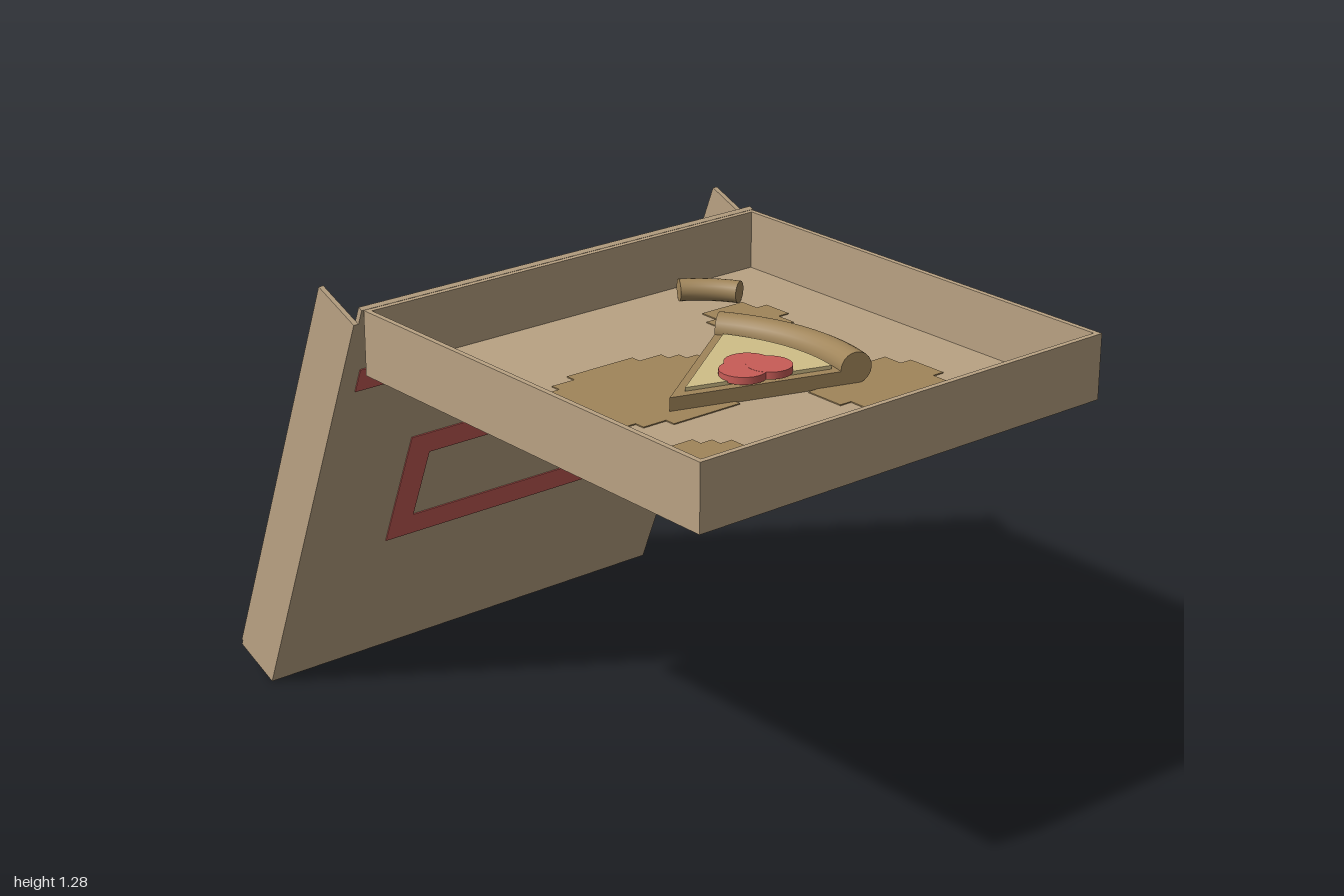
import * as THREE from 'three';
import { mergeGeometries } from 'three/addons/utils/BufferGeometryUtils.js';

const mat = (name, color) => Object.assign(new THREE.MeshStandardMaterial({ color }), { name });

export function createModel() {
  const cardboard = mat('cardboard', 0xb9a283);
  const brown = mat('crust brown', 0xa0855a);
  const red = mat('red', 0xc85c57);
  const cheeseYellow = mat('cheese yellow', 0xd0be87);

  const add = (parent, name, geometry, material) => {
    const mesh = new THREE.Mesh(geometry, material);
    mesh.name = name;
    parent.add(mesh);
    return mesh;
  };
  // Box given by its lower and upper limits on each axis
  const box = (x0, x1, y0, y1, z0, z1) =>
    new THREE.BoxGeometry(x1 - x0, y1 - y0, z1 - z0)
      .translate((x0 + x1) / 2, (y0 + y1) / 2, (z0 + z1) / 2);
  const group = (parent, name) => {
    const g = new THREE.Group();
    g.name = name;
    parent.add(g);
    return g;
  };

  const model = new THREE.Group();
  model.name = 'openPizzaBox';
  const T = 0.015, FLOOR = 1.1, RIM = 1.265, BACK = -0.335;

  // Tray
  const tray = group(model, 'tray');
  add(tray, 'trayFloor', box(-0.67, 0.67, FLOOR - T, FLOOR, BACK, 1), cardboard);
  for (const s of [-1, 1]) {
    add(tray, s > 0 ? 'trayLeftWall' : 'trayRightWall',
      box(0.67 - T, 0.67, FLOOR, RIM, BACK, 1).translate(s > 0 ? 0 : T - 1.34, 0, 0), cardboard);
  }
  add(tray, 'trayFrontWall', box(-0.67 + T, 0.67 - T, FLOOR, RIM, 1 - T, 1), cardboard);
  add(tray, 'trayBackWall', box(-0.67 + T, 0.67 - T, FLOOR, RIM, BACK, BACK + T), cardboard);

  // Lid: local y runs down from the hinge, local z points to the rim
  const lid = group(model, 'lid');
  lid.position.set(0, RIM, -0.337);
  lid.rotation.x = Math.atan2(-0.375, -0.927);
  const L = 1.36, D = 0.17;
  add(lid, 'lidPanel', box(-0.675, 0.675, 0, L - T, 0, T), cardboard);
  for (const s of [-1, 1]) {
    add(lid, s > 0 ? 'lidLeftWall' : 'lidRightWall',
      box(-T / 2, T / 2, 0.045, L - T, 0, D).translate(s * 0.6825, 0, 0), cardboard);
  }
  add(lid, 'lidEndWall', box(-0.69, 0.69, L - T, L, 0, D - 0.005), cardboard);

  // Printed stripe and frame on the lid
  add(lid, 'printedStripe', box(-0.635, 0.635, 0.21, 0.286, -0.003, 0.001), red);
  const rect = (C, w, y0, y1) => new C([[-w, y0], [w, y0], [w, y1], [-w, y1]]
    .map(([x, y]) => new THREE.Vector2(x, y)));
  const frame = rect(THREE.Shape, 0.395, 0.523, 0.911);
  frame.holes.push(rect(THREE.Path, 0.318, 0.599, 0.836));
  add(lid, 'printedFrame',
    new THREE.ExtrudeGeometry(frame, { depth: 0.004, bevelEnabled: false }).translate(0, 0, -0.003), red);

  // Stepped grease stains: centre x, z and radii
  const CX = 0.0365, CZ = 0.031;
  [[-0.19, 0.255, 0.285, 0.215], [0.29, 0.58, 0.182, 0.15], [-0.405, 0.69, 0.146, 0.112],
    [0, 0.765, 0.11, 0.075], [0.36, 0, 0.11, 0.105]].forEach(([x, z, rx, rz]) => {
    const rows = Math.round(2 * rz / CZ);
    const strips = [];
    for (let i = 0; i < rows; i++) {
      const t = (2 * i + 1) / rows - 1;
      const w = Math.max(1, Math.round(rx * Math.sqrt(1 - t * t) / CX)) * CX;
      const z0 = z - rz + i * 2 * rz / rows;
      strips.push(box(x - w, x + w, FLOOR - 0.001, FLOOR + 0.003, z0, z0 + 2 * rz / rows));
    }
    add(tray, 'greaseStain', mergeGeometries(strips), brown);
  });

  // Bent round crust with closed ends, lying flat
  const bentCrust = (R, r, a0, a1) => {
    const arc = a1 - a0;
    const cap = (turn, angle) =>
      new THREE.CircleGeometry(r, 20).rotateX(turn).translate(R, 0, 0).rotateZ(angle);
    return mergeGeometries([
      new THREE.TorusGeometry(R, r, 20, 24, arc),
      cap(Math.PI / 2, 0), cap(-Math.PI / 2, arc),
    ]).rotateZ(a0).rotateX(-Math.PI / 2);
  };
  // Flat wedge with a round outer edge
  const wedge = (tip, R, a0, a1, depth) => {
    const s = new THREE.Shape();
    const m = (a0 + a1) / 2;
    s.moveTo(tip * Math.cos(m), tip * Math.sin(m));
    s.lineTo(R * Math.cos(a0), R * Math.sin(a0));
    s.absarc(0, 0, R, a0, a1, false);
    s.closePath();
    return new THREE.ExtrudeGeometry(s, { depth, bevelEnabled: false, curveSegments: 20 })
      .rotateX(-Math.PI / 2);
  };

  // Pizza slice, with its tip at the group's origin
  const slice = group(model, 'pizzaSlice');
  slice.position.set(-0.255, FLOOR, 0.4);
  const A0 = -0.295, A1 = 0.62;
  add(slice, 'sliceBase', wedge(0, 0.52, A0, A1, 0.04), brown);
  add(slice, 'cheese', wedge(0.06, 0.465, A0 + 0.058, A1 - 0.058, 0.012).translate(0, 0.038, 0), cheeseYellow);
  add(slice, 'sliceCrust', bentCrust(0.522, 0.044, A0, A1).translate(0, 0.044, 0), brown);

  // Overlapping round topping
  [[0.025, 0.38, 0.064], [-0.022, 0.413, 0.063], [0.053, 0.43, 0.061]].forEach(([x, z, r], i) => {
    add(slice, 'topping', new THREE.CylinderGeometry(r, r, 0.02, 24)
      .translate(x + 0.255, 0.055 + i * 0.0005, z - 0.4), red);
  });

  // Leftover piece of crust
  add(model, 'leftoverCrust', bentCrust(0.294, 0.031, 0.49, 1.07).translate(0.17, FLOOR + 0.031, 0.025), brown);

  return model;
}
